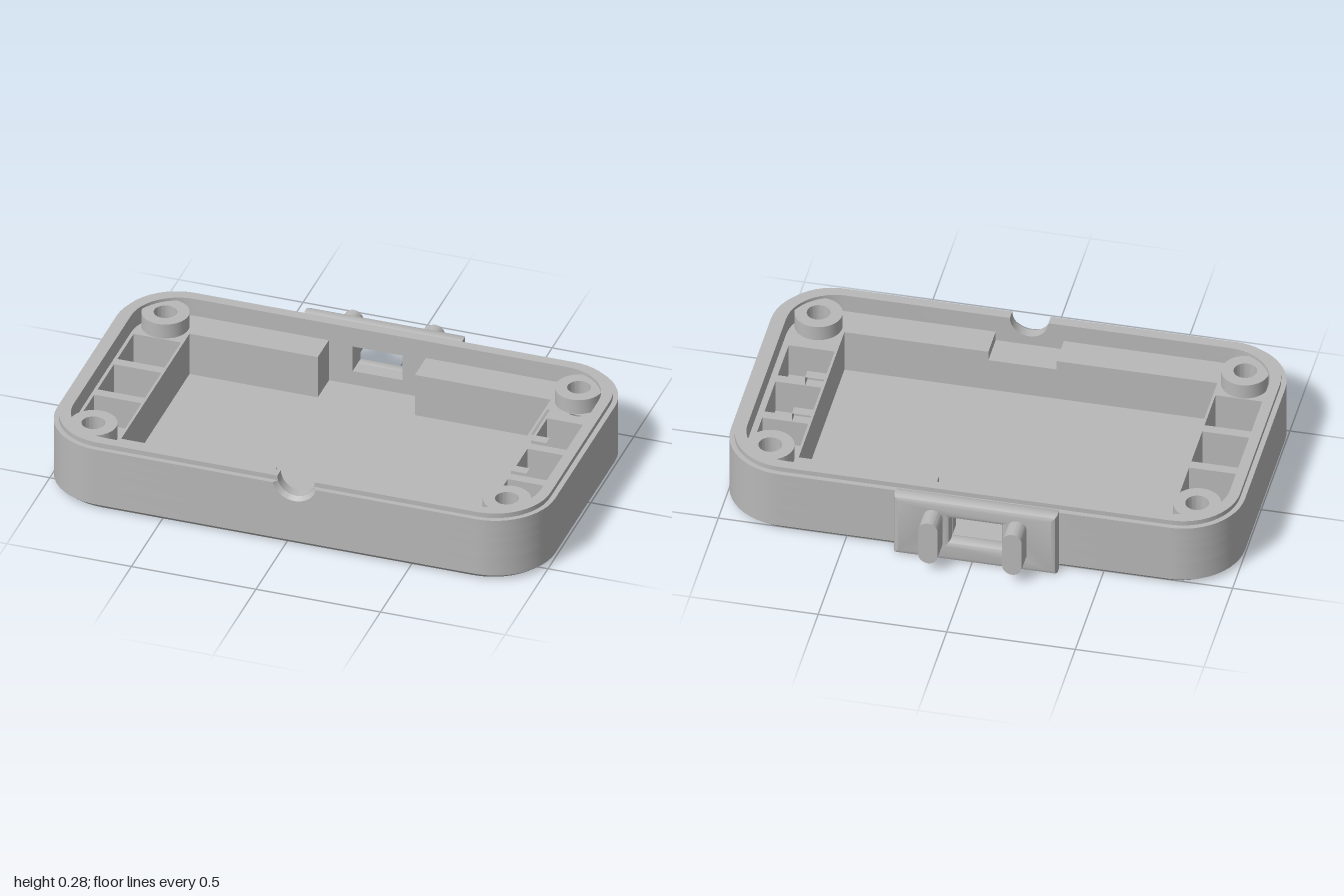
import * as THREE from 'three';
import { toCreasedNormals } from 'three/addons/utils/BufferGeometryUtils.js';

const FRONT = 0.655, BACK = -0.52, MID = (FRONT + BACK) / 2, RADIUS = 0.24;
const FLOOR = 0.03, LEDGE = 0.21, WALL = 0.265, LIP = 0.285;
const BOSSES = [-0.355, 0.485];
const POCKETS = [[-0.26, -0.07], [-0.03, 0.16], [0.2, 0.39]];

export function createModel() {
  const model = new THREE.Group();
  const grey = new THREE.MeshStandardMaterial({ color: 0xb8b8b8 });
  grey.name = 'grey plastic';

  const add = (name, geometry) => {
    const mesh = new THREE.Mesh(toCreasedNormals(geometry, 0.5), grey);
    mesh.name = name;
    model.add(mesh);
    return mesh;
  };
  const poly = (pts) => new THREE.Shape(pts.map(([x, y]) => new THREE.Vector2(x, y)));
  const rect = (x0, y0, x1, y1) => poly([[x0, y0], [x1, y0], [x1, y1], [x0, y1]]);
  const disc = (x, y, r) => new THREE.Path().absarc(x, y, r, 0, Math.PI * 2);
  const opts = { bevelEnabled: false, curveSegments: 20 };

  // Plan shape in (x, z) raised from y0 to y1
  const slab = (shape, y0, y1) => new THREE.ExtrudeGeometry(shape, { ...opts, depth: y1 - y0 })
    .rotateX(Math.PI / 2).translate(0, y1, 0);
  // Elevation shape in (x, y) running from z0 to z1
  const panel = (shape, z0, z1) => new THREE.ExtrudeGeometry(shape, { ...opts, depth: z1 - z0 })
    .translate(0, 0, z0);

  // Half of the rounded outline, from the front seam round to the back seam
  function halfOutline(s, inset, radius, xf, xb) {
    const pts = [[xf, FRONT - inset]];
    const cx = 1 - inset - radius;
    for (const [cz, start] of [[FRONT - inset - radius, Math.PI / 2], [BACK + inset + radius, 0]]) {
      for (let i = 0; i <= 12; i++) {
        const a = start - (i / 12) * Math.PI / 2;
        pts.push([s * (cx + radius * Math.cos(a)), cz + radius * Math.sin(a)]);
      }
    }
    pts.push([xb, BACK + inset]);
    return pts;
  }
  const fullOutline = () => poly([
    ...halfOutline(1, 0, RADIUS, 0, 0), ...halfOutline(-1, 0, RADIUS, 0, 0).reverse().slice(1, -1)]);

  // Base plate with a chamfered lower edge and screw recesses
  const base = fullOutline();
  for (const s of [1, -1]) for (const z of BOSSES) base.holes.push(disc(s * 0.83, z, 0.075));
  const chamfer = slab(base, 0, 0.02);
  const pos = chamfer.attributes.position;
  for (let i = 0; i < pos.count; i++) {
    const x = pos.getX(i), z = pos.getZ(i);
    const inHole = BOSSES.some((b) => Math.hypot(Math.abs(x) - 0.83, z - b) < 0.08);
    if (pos.getY(i) < 0.001 && !inHole) {
      pos.setX(i, x * 0.98);
      pos.setZ(i, MID + (z - MID) * 0.966);
    }
  }
  add('baseChamfer', chamfer);
  add('floor', slab(base, 0.02, FLOOR));

  // Body halves around the central tray, with side pockets and screw holes
  function bodyLayer(s, y0, y1, holeRadius, top) {
    const xb = s > 0 ? 0.18 : -0.21;
    const xf = top ? (s > 0 ? 0.165 : -0.1) : 0.03;
    const shape = poly([...halfOutline(s, 0, RADIUS, xf, xb),
      [xb, -0.33], [s * 0.725, -0.33], [s * 0.725, 0.465], [xf, 0.465]]);
    for (const z of BOSSES) shape.holes.push(disc(s * 0.83, z, holeRadius));
    if (top && s > 0) {
      // Lowered outer part of the dividers joins the three pockets
      const comb = [];
      for (const [z0, z1] of POCKETS) comb.push([0.81, z0], [0.735, z0], [0.735, z1], [0.81, z1]);
      shape.holes.push(poly([[0.925, -0.26], ...comb, [0.925, 0.39]]));
    } else {
      for (const [z0, z1] of POCKETS) shape.holes.push(rect(s * 0.735, z0, s * 0.925, z1));
    }
    add('bodyWall', slab(shape, y0, y1));
  }
  // Upper wall and lip rings
  function ringLayer(s, inset, radius, y0, y1) {
    const xf = s > 0 ? 0.165 : -0.1;
    add(y1 > WALL ? 'lip' : 'rim', slab(poly([...halfOutline(s, inset, radius, xf, 0),
      ...halfOutline(s, 0.062, 0.19, xf, 0).reverse()]), y0, y1));
  }
  for (const s of [1, -1]) {
    bodyLayer(s, FLOOR, 0.1, 0.075, false);
    bodyLayer(s, 0.1, 0.17, 0.045, false);
    bodyLayer(s, 0.17, LEDGE, 0.045, true);
    ringLayer(s, 0, RADIUS, LEDGE, WALL);
    ringLayer(s, 0.02, 0.22, WALL, LIP);
    for (const z of BOSSES) {
      const boss = new THREE.Shape().absarc(s * 0.83, z, 0.092, 0, Math.PI * 2);
      boss.holes.push(disc(s * 0.83, z, 0.045));
      add('screwBoss', slab(boss, LEDGE, 0.272));
    }
  }

  // Front wall section with a flared half-round cable notch
  const CX = 0.035, CY = 0.285;
  function notched(top, r) {
    const pts = [[-0.1, 0.17], [0.165, 0.17], [0.165, top]];
    const a0 = Math.asin((CY - top) / r);
    for (let i = 0; i <= 20; i++) {
      const a = -a0 - (i / 20) * (Math.PI - 2 * a0);
      pts.push([CX + r * Math.cos(a), CY + r * Math.sin(a)]);
    }
    pts.push([-0.1, top]);
    return poly(pts);
  }
  add('cableNotch', panel(notched(LIP, 0.075), FRONT - 0.062, FRONT - 0.02));
  const flare = panel(notched(WALL, 0.075), FRONT - 0.02, FRONT);
  const fp = flare.attributes.position;
  for (let i = 0; i < fp.count; i++) {
    const dx = fp.getX(i) - CX, dy = fp.getY(i) - CY;
    if (fp.getZ(i) > FRONT - 0.001 && Math.hypot(dx, dy) < 0.076) {
      fp.setX(i, CX + dx * 1.2);
      if (dy < -0.021) fp.setY(i, CY + dy * 1.16);
    }
  }
  add('cableNotchFlare', flare);

  // Back wall section with a connector window
  const windowHole = () => rect(-0.115, 0.09, 0.085, 0.2);
  const backWall = rect(-0.21, FLOOR, 0.18, LEDGE);
  backWall.holes.push(windowHole());
  add('backWindowWall', panel(backWall, BACK, -0.46));

  // Raised plate around the window
  const b = 0.02;
  const plate = rect(-0.33 + b, b, 0.305 - b, 0.275 - b);
  plate.holes.push(rect(-0.115 - b, 0.09 - b, 0.085 + b, 0.2 + b));
  add('connectorPlate', new THREE.ExtrudeGeometry(plate, {
    depth: 0.025, bevelEnabled: true, bevelSize: b, bevelThickness: b, bevelSegments: 2,
  }).translate(0, 0, -0.55));

  // Two round-ended prongs on the plate
  for (const x of [-0.177, 0.15]) {
    const r = 0.038;
    const prong = new THREE.Shape();
    prong.absarc(x, 0.235 - r, r, 0, Math.PI);
    prong.absarc(x, 0.045 + r, r, Math.PI, Math.PI * 2);
    add('prong', panel(prong, -0.657, -0.56));
  }
  return model;
}
